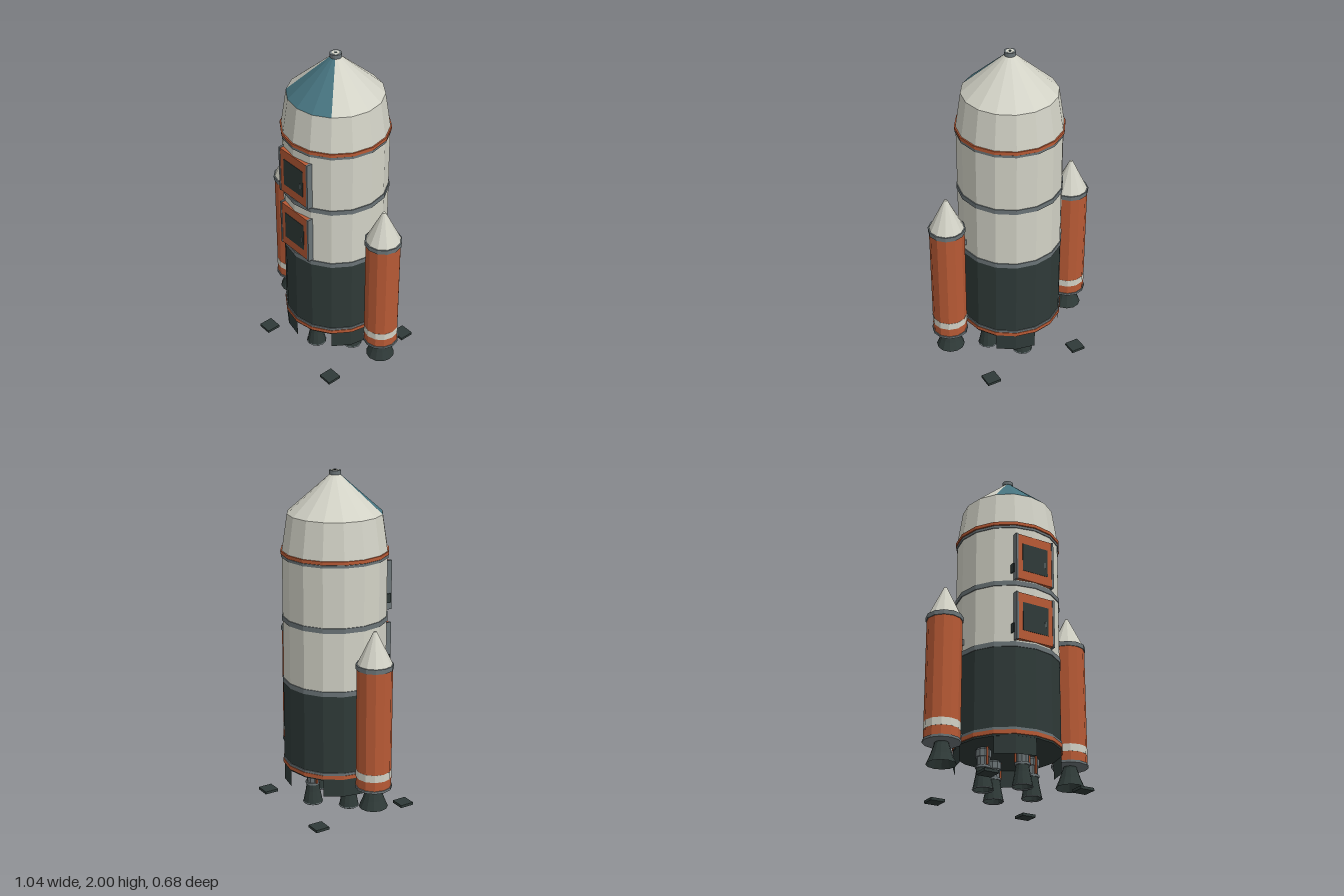
import * as THREE from 'three';

const mat = (name, color, side = THREE.FrontSide) => {
  const m = new THREE.MeshStandardMaterial({ color, flatShading: true, side });
  m.name = name;
  return m;
};

export function createModel() {
  const white = mat('hullWhite', 0xd2d2c6);
  const dark = mat('darkPanel', 0x2f3a38, THREE.DoubleSide);
  const orange = mat('burntOrange', 0xb85a35);
  const grey = mat('steelGrey', 0x6b7477, THREE.DoubleSide);
  const teal = mat('tealNose', 0x46737f);

  const model = new THREE.Group();
  model.name = 'rocket';

  const add = (parent, name, geometry, material, x = 0, y = 0, z = 0) => {
    const mesh = new THREE.Mesh(geometry, material);
    mesh.name = name;
    mesh.position.set(x, y, z);
    parent.add(mesh);
    return mesh;
  };
  // Faceted drum between two heights
  const drum = (parent, name, material, y0, y1, r0, r1 = r0, sides = 16, open = false, start = 0, sweep = Math.PI * 2) =>
    add(parent, name, new THREE.CylinderGeometry(r1, r0, y1 - y0, sides, 1, open, start, sweep), material, 0, (y0 + y1) / 2, 0);
  const box = (parent, name, material, w, h, d, x, y, z) =>
    add(parent, name, new THREE.BoxGeometry(w, h, d), material, x, y, z);
  const group = (name, x = 0, z = 0) => {
    const g = new THREE.Group();
    g.name = name;
    g.position.set(x, 0, z);
    model.add(g);
    return g;
  };
  // Open thin-walled bell
  const bell = (parent, name, points, sides) =>
    add(parent, name, new THREE.LatheGeometry(points.map(p => new THREE.Vector2(p[0], p[1])), sides), dark);

  // Hull
  drum(model, 'lowerHull', dark, 0.25, 0.78, 0.303);
  drum(model, 'upperHull', white, 0.78, 1.54, 0.302);
  drum(model, 'shoulder', white, 1.54, 1.76, 0.305, 0.272);

  // Hull bands: bottom, top, radius, material
  [[0.26, 0.283, 0.31, orange], [0.283, 0.298, 0.307, grey], [0.768, 0.797, 0.307, grey],
    [1.143, 1.172, 0.307, grey], [1.515, 1.53, 0.307, grey], [1.533, 1.553, 0.311, orange]]
    .forEach(([a, b, r, m]) => drum(model, 'hullBand', m, a, b, r));

  // Nose cone, with a painted front quarter
  const q = Math.PI / 4;
  drum(model, 'noseCone', white, 1.76, 1.985, 0.272, 0.018, 12, true, q, 6 * q);
  drum(model, 'noseFrontPanel', teal, 1.76, 1.985, 0.272, 0.018, 4, true, -q, 2 * q);
  drum(model, 'noseCap', grey, 1.975, 1.998, 0.033);
  drum(model, 'noseCapInset', white, 1.99, 1.999, 0.022);
  drum(model, 'noseCapCentre', dark, 1.99, 2.0, 0.009);

  // Skirt panels with four gaps
  for (let i = 0; i < 4; i++) {
    drum(model, 'skirtPanel', dark, 0.15, 0.26, 0.302, 0.302, 2, true, q + i * 2 * q, q);
  }

  // Front hatches
  [0.95, 1.322].forEach(y => {
    const g = group('hatch');
    box(g, 'hatchFrame', orange, 0.222, 0.285, 0.036, 0, y, 0.288);
    box(g, 'hatchPane', dark, 0.166, 0.172, 0.008, 0, y, 0.304);
    box(g, 'hatchHandle', grey, 0.006, 0.035, 0.006, 0.064, y - 0.02, 0.308);
    box(g, 'hatchHinge', dark, 0.007, 0.055, 0.03, -0.134, y - 0.075, 0.279);
    [-1, 1].forEach(s => box(g, 'hatchRail', grey, 0.012, 0.292, 0.044, s * 0.118, y, 0.286));
  });

  // Four main engines
  for (let i = 0; i < 4; i++) {
    const a = i * Math.PI / 2;
    const g = group('mainEngine', Math.sin(a) * 0.155, Math.cos(a) * 0.155);
    g.rotation.y = a;
    drum(g, 'engineBody', grey, 0.145, 0.255, 0.036, 0.036, 10);
    drum(g, 'engineCollar', grey, 0.2, 0.24, 0.045, 0.045, 10);
    bell(g, 'engineBell', [[0.058, 0.018], [0.052, 0.05], [0.043, 0.095], [0.036, 0.145]], 12);
    drum(g, 'bellTopRing', grey, 0.137, 0.15, 0.043, 0.043, 12);
    const rim = add(g, 'bellRim', new THREE.TorusGeometry(0.057, 0.004, 4, 12), grey, 0, 0.019, 0);
    rim.rotation.x = Math.PI / 2;
    [-1, 1].forEach(s => box(g, 'fuelLine', orange, 0.01, 0.1, 0.01, s * 0.045, 0.2, 0));
  }

  // Side boosters
  [-1, 1].forEach(s => {
    const g = group(s > 0 ? 'leftBooster' : 'rightBooster', s * 0.412);
    drum(g, 'boosterBody', orange, 0.25, 0.97, 0.1015, 0.1015, 12);
    drum(g, 'boosterStripe', white, 0.308, 0.352, 0.1025, 0.1025, 12);
    drum(g, 'boosterBaseRing', grey, 0.24, 0.254, 0.107, 0.107, 12);
    drum(g, 'boosterTopRing', grey, 0.958, 0.985, 0.107, 0.107, 12);
    drum(g, 'boosterNose', white, 0.985, 1.172, 0.1, 0.009, 12);
    drum(g, 'boosterThroat', dark, 0.215, 0.245, 0.04, 0.04, 12);
    bell(g, 'boosterNozzle', [[0.084, 0.118], [0.062, 0.17], [0.042, 0.23]], 12);
    [0.29, 0.85].forEach(y => box(g, 'boosterMount', grey, 0.03, 0.035, 0.04, -s * 0.107, y, 0));
  });

  // Ground pads
  [-1, 1].forEach(sx => [-1, 1].forEach(sz =>
    box(model, 'groundPad', dark, 0.086, 0.016, 0.086, sx * 0.295, 0.01, sz * 0.295)));

  return model;
}
